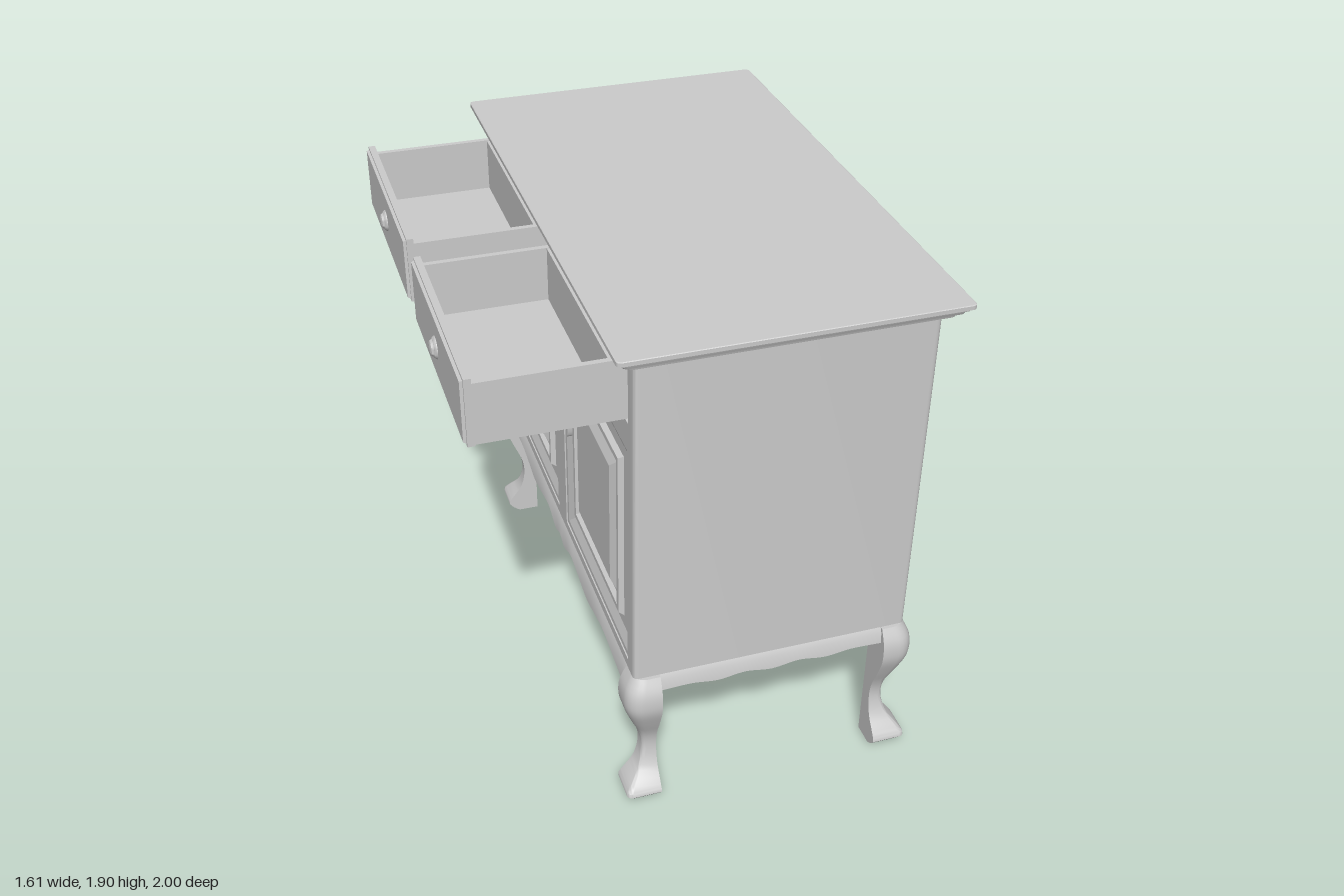
import * as THREE from 'three';
import { toCreasedNormals } from 'three/addons/utils/BufferGeometryUtils.js';

const material = new THREE.MeshStandardMaterial({ color: 0xcccccc });
const V = (x, y, z) => new THREE.Vector3(x, y, z);

function add(parent, name, geometry, x = 0, y = 0, z = 0) {
  const mesh = new THREE.Mesh(geometry, material);
  mesh.name = name;
  mesh.position.set(x, y, z);
  parent.add(mesh);
  return mesh;
}

// Box given by its min and max corners
function box(parent, name, x0, x1, y0, y1, z0, z1) {
  return add(parent, name, new THREE.BoxGeometry(x1 - x0, y1 - y0, z1 - z0),
    (x0 + x1) / 2, (y0 + y1) / 2, (z0 + z1) / 2);
}

// Solid skin over a list of equal-length closed rings, capped at both ends
function loft(rings, crease = 0.6) {
  const n = rings[0].length, pts = rings.flat(), tris = [];
  for (let r = 0; r < rings.length - 1; r++) {
    for (let i = 0; i < n; i++) {
      const a = r * n + i, b = r * n + (i + 1) % n;
      tris.push([a, b, b + n], [a, b + n, a + n]);
    }
  }
  const last = (rings.length - 1) * n;
  for (let i = 1; i < n - 1; i++) tris.push([0, i + 1, i], [last, last + i, last + i + 1]);
  // a negative volume means the rings run the other way round
  let volume = 0;
  for (const [a, b, c] of tris) volume += pts[a].dot(pts[b].clone().cross(pts[c]));
  if (volume < 0) tris.forEach((t) => t.reverse());
  const geometry = new THREE.BufferGeometry().setFromPoints(pts);
  geometry.setIndex(tris.flat());
  return toCreasedNormals(geometry, crease);
}

// Rectangle with rounded corners as 2D points
function roundedRect(x0, x1, y0, y1, r, steps = 4) {
  const out = [];
  [[x1 - r, y1 - r], [x0 + r, y1 - r], [x0 + r, y0 + r], [x1 - r, y0 + r]].forEach(([cx, cy], k) => {
    for (let i = 0; i <= steps; i++) {
      const a = (k + i / steps) * Math.PI / 2;
      out.push([cx + r * Math.cos(a), cy + r * Math.sin(a)]);
    }
  });
  return out;
}

// Panel facing +z, stepped by [inset, z] pairs from back to front
function panel(x0, x1, y0, y1, steps) {
  return loft(steps.map(([d, z]) => [
    V(x0 + d, y0 + d, z), V(x1 - d, y0 + d, z), V(x1 - d, y1 - d, z), V(x0 + d, y1 - d, z)]), 0.1);
}

function rectHole(x0, x1, y0, y1) {
  return new THREE.Path([[x0, y0], [x0, y1], [x1, y1], [x1, y0]].map((p) => new THREE.Vector2(...p)));
}

// Cabriole leg: inner corner on the axis, rounded outer corner towards +x +z
function legGeometry() {
  const size = new THREE.SplineCurve([
    [0.055, 0.124], [0.08, 0.106], [0.13, 0.07], [0.2, 0.053], [0.27, 0.06], [0.35, 0.092],
    [0.42, 0.118], [0.47, 0.124], [0.52, 0.117], [0.57, 0.092],
  ].map((p) => new THREE.Vector2(...p)));
  const levels = [[0, 0.08], [0.005, 0.09], [0.02, 0.11], [0.04, 0.126],
    ...size.getPoints(30).map((p) => [p.x, p.y])];
  return loft(levels.map(([y, s]) => {
    const r = s * (0.15 + 0.35 * THREE.MathUtils.clamp((y - 0.1) / 0.2, 0, 1));
    const ring = [V(0, y, 0), V(s, y, 0)];
    for (let i = 0; i <= 6; i++) {
      const a = i * Math.PI / 12;
      ring.push(V(s - r + r * Math.cos(a), y, s - r + r * Math.sin(a)));
    }
    ring.push(V(0, y, s));
    return ring;
  }));
}

// Apron along x facing +z, with a scalloped lower edge; half holds [x, y] points from the middle out
function apronGeometry(half, underside) {
  const points = [...half.slice(1).map(([x, y]) => [-x, y]).reverse(), ...half];
  const curve = new THREE.SplineCurve(points.map((p) => new THREE.Vector2(...p)));
  return loft(curve.getPoints(64).map(({ x, y }) => [
    V(x, 0.57, 0), V(x, 0.55, 0.01), V(x, y + underside, 0.016),
    V(x, y, -0.045), V(x, 0.57, -0.05)]), 0.4);
}

function knobGeometry(r, depth) {
  const profile = [[0, 0], [0.8, 0], [1, 0.15], [1, 0.35], [0.85, 0.55], [0.75, 0.6], [0.65, 0.85], [0.4, 0.97], [0, 1]];
  const g = new THREE.LatheGeometry(profile.map(([a, b]) => new THREE.Vector2(a * r, b * depth)), 20);
  return toCreasedNormals(g.rotateX(Math.PI / 2), 0.7);
}

export function createModel() {
  const root = new THREE.Group();
  root.name = 'cabinet';
  // Built with its drawers facing +z, then turned so that they face -x
  const cabinet = new THREE.Group();
  cabinet.name = 'cabinetBody';
  cabinet.rotation.y = -Math.PI / 2;
  root.add(cabinet);

  // Sides and back as one U-shaped wall with rounded corners
  const W = 0.925, F = 0.277, B = -0.73, R = 0.02;
  const wall = new THREE.Shape();
  wall.moveTo(0.875, F);
  wall.lineTo(W - R, F).quadraticCurveTo(W, F, W, F - R);
  wall.lineTo(W, B + R).quadraticCurveTo(W, B, W - R, B);
  wall.lineTo(-W + R, B).quadraticCurveTo(-W, B, -W, B + R);
  wall.lineTo(-W, F - R).quadraticCurveTo(-W, F, -W + R, F);
  wall.lineTo(-0.875, F).lineTo(-0.875, B + 0.03).lineTo(0.875, B + 0.03).lineTo(0.875, F);
  const wallGeometry = new THREE.ExtrudeGeometry(wall, { depth: 1.27, bevelEnabled: false, curveSegments: 5 });
  add(cabinet, 'sidesAndBack', toCreasedNormals(wallGeometry.rotateX(Math.PI / 2), 0.6), 0, 1.84, 0);
  box(cabinet, 'bottomPanel', -0.9, 0.9, 0.57, 0.595, B + 0.02, F - 0.02);

  // Face frame with openings for two drawers and two doors
  const frame = new THREE.Shape([[-0.875, 0.57], [0.875, 0.57], [0.875, 1.84], [-0.875, 1.84]]
    .map((p) => new THREE.Vector2(...p)));
  for (const [a, b] of [[-0.86, -0.055], [0.055, 0.86]]) {
    frame.holes.push(rectHole(a, b, 0.605, 1.49), rectHole(a, b, 1.585, 1.82));
  }
  add(cabinet, 'faceFrame', new THREE.ExtrudeGeometry(frame, { depth: 0.03, bevelEnabled: false }), 0, 0, F - 0.03);

  // Moulded top
  const top = [[0.045, 1.84], [0.04, 1.856], [0.026, 1.858], [0.022, 1.868], [0.012, 1.874],
    [0.01, 1.88], [0, 1.884], [0, 1.898], [0.003, 1.9]];
  add(cabinet, 'top', loft(top.map(([d, y]) =>
    roundedRect(-1 + d, 1 - d, -0.802 + d, 0.352 - d, 0.015).map(([x, z]) => V(x, y, z))), 0.4));

  // Legs, one turned to each corner
  const leg = legGeometry();
  [[0.846, 0.185], [0.846, -0.64], [-0.846, -0.64], [-0.846, 0.185]].forEach(([x, z], k) => {
    add(cabinet, 'leg', leg, x, 0, z).rotation.y = k * Math.PI / 2;
  });

  // Scalloped aprons
  const longApron = apronGeometry([[0, 0.51], [0.02, 0.503], [0.07, 0.489], [0.15, 0.52], [0.22, 0.516],
    [0.33, 0.495], [0.4, 0.488], [0.48, 0.503], [0.6, 0.521], [0.72, 0.508], [0.86, 0.49]], 0.003);
  const shortApron = apronGeometry([[0, 0.476], [0.1, 0.489], [0.2, 0.477],
    [0.3, 0.488], [0.42, 0.484]], 0.024);
  add(cabinet, 'frontApron', longApron, 0, 0, F);
  add(cabinet, 'backApron', longApron, 0, 0, B).rotation.y = Math.PI;
  for (const s of [1, -1]) {
    add(cabinet, 'sideApron', shortApron, s * W, 0, -0.225).rotation.y = s * Math.PI / 2;
  }

  const doorProfile = [[0, 0.24], [0, 0.273], [0.02, 0.273], [0.06, 0.258], [0.105, 0.258], [0.115, 0.276],
    [0.135, 0.276], [0.145, 0.26], [0.16, 0.26], [0.2, 0.281], [0.205, 0.281]];
  const drawerProfile = [[0, 0.752], [0, 0.776], [0.008, 0.776], [0.012, 0.786]];
  for (const s of [-1, 1]) {
    // Raised-panel door with knob and key plate
    const door = new THREE.Group();
    door.name = 'door';
    cabinet.add(door);
    add(door, 'doorPanel', panel(s * 0.458 - 0.4, s * 0.458 + 0.4, 0.607, 1.488, doorProfile));
    add(door, 'doorKnob', knobGeometry(0.034, 0.042), s * 0.11, 1.225, 0.258);
    const plate = new THREE.CylinderGeometry(0.02, 0.02, 0.026, 20).rotateX(Math.PI / 2).scale(1, 3.5, 1);
    add(door, 'keyPlate', plate, s * 0.11, 1.11, 0.27);

    // Drawer pulled out until its back meets the cabinet front
    const drawer = new THREE.Group();
    drawer.name = 'drawer';
    drawer.position.x = s * 0.457;
    cabinet.add(drawer);
    add(drawer, 'drawerFront', panel(-0.393, 0.393, 1.592, 1.832, drawerProfile));
    box(drawer, 'drawerFloor', -0.37, 0.37, 1.594, 1.612, 0.26, 0.755);
    box(drawer, 'drawerBack', -0.37, 0.37, 1.594, 1.808, 0.31, 0.328);
    for (const t of [-1, 1]) {
      box(drawer, 'drawerSide', t * 0.376 - 0.01, t * 0.376 + 0.01, 1.592, 1.81, 0.26, 0.755);
    }
    add(drawer, 'drawerKnob', knobGeometry(0.038, 0.03), 0, 1.715, 0.778);
  }
  return root;
}
